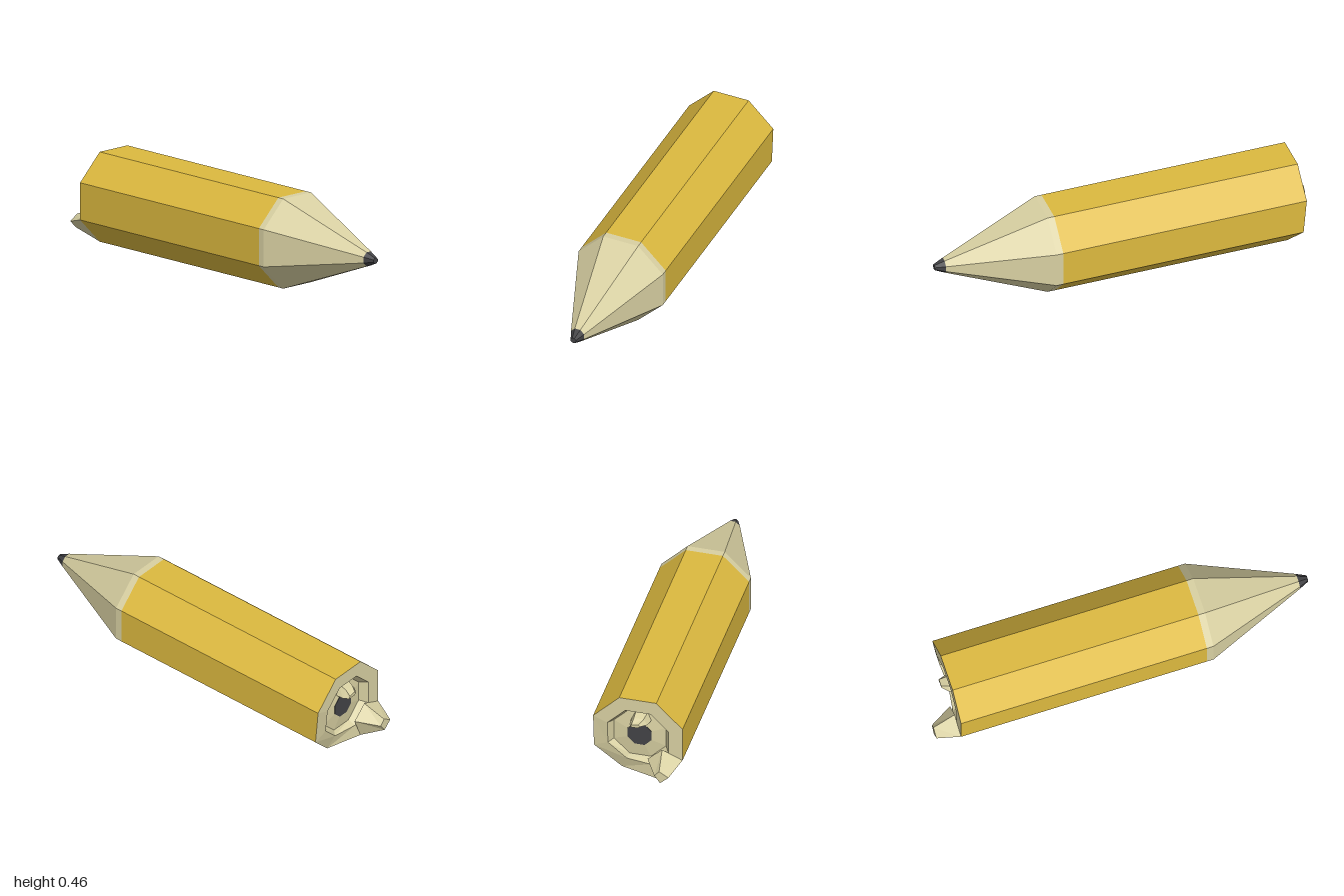
import * as THREE from 'three';

const SIDES = 8;
const AXIS_Y = 0.23;

// Octagon ring around the pencil axis; z is one depth or one depth per corner
function ring(radius, z) {
  return Array.from({ length: SIDES }, (_, k) => {
    const a = ((k + 0.5) / SIDES) * Math.PI * 2;
    return [radius * Math.cos(a), AXIS_Y + radius * Math.sin(a), Array.isArray(z) ? z[k] : z];
  });
}

// Skin between rings ordered front to back, with optional flat end caps
function loft(name, rings, material, { front = false, back = false } = {}) {
  const pos = [];
  const tri = (a, b, c) => pos.push(...a, ...b, ...c);
  for (let r = 0; r < rings.length - 1; r++) {
    const a = rings[r], b = rings[r + 1], n = a.length;
    for (let i = 0; i < n; i++) {
      const j = (i + 1) % n;
      tri(a[i], b[i], a[j]);
      tri(a[j], b[i], b[j]);
    }
  }
  const first = rings[0], last = rings[rings.length - 1];
  for (let i = 1; i < first.length - 1; i++) {
    if (front) tri(first[0], first[i], first[i + 1]);
    if (back) tri(last[0], last[i + 1], last[i]);
  }
  const geometry = new THREE.BufferGeometry();
  geometry.setAttribute('position', new THREE.Float32BufferAttribute(pos, 3));
  geometry.computeVertexNormals();
  const mesh = new THREE.Mesh(geometry, material);
  mesh.name = name;
  return mesh;
}

export function createModel() {
  const paint = new THREE.MeshStandardMaterial({ color: 0xdcb93f, flatShading: true });
  const wood = new THREE.MeshStandardMaterial({ color: 0xd8d0a2, flatShading: true });
  const lead = new THREE.MeshStandardMaterial({ color: 0x434346, flatShading: true });
  const group = new THREE.Group();
  group.name = 'brokenPencil';

  const R = 0.249;
  // Broken edge: chipped away at the lower left corners
  const edge = ring(R, [-0.885, -0.885, -0.885, -0.885, -0.885, -0.885, -0.83, -0.868]);
  const lip = ring(0.17, [-0.885, -0.885, -0.885, -0.885, -0.885, -0.875, -0.855, -0.872]);

  // Sharpened end
  group.add(loft('leadTip', [ring(0.016, 1), ring(0.039, 0.95)], lead, { front: true }));
  group.add(loft('sharpenedCone', [ring(0.039, 0.95), ring(R, 0.435), ring(R, 0.4)], wood));

  // Painted shaft
  group.add(loft('shaft', [ring(R, 0.4), edge], paint));

  // Hollowed wood of the broken end, with the lead core at its bottom
  group.add(loft('brokenEnd', [edge, lip, ring(0.145, -0.84), ring(0.067, -0.85)], wood));
  group.add(loft('leadCore', [ring(0.067, -0.84), ring(0.067, -0.852)], lead, { back: true }));

  // Splinters sticking out of the break
  const at = (points, z) => points.map(([x, y]) => [x, y, z]);
  group.add(loft('largeSplinter', [
    at([[-0.23, 0.135], [-0.095, 0], [-0.05, 0.11], [-0.125, 0.18]], -0.884),
    at([[-0.188, 0.1], [-0.145, 0.06], [-0.115, 0.1], [-0.14, 0.13]], -1),
  ], wood, { back: true }));
  group.add(loft('smallSplinter', [
    at([[-0.06, 0.32], [-0.01, 0.29], [0.045, 0.31], [0.02, 0.365], [-0.04, 0.365]], -0.84),
    at([[-0.05, 0.32], [-0.01, 0.3], [0.042, 0.31], [0.02, 0.35], [-0.03, 0.35]], -0.886),
    at([[-0.02, 0.325], [-0.01, 0.315], [0.03, 0.315], [0.025, 0.33], [-0.012, 0.335]], -0.918),
  ], wood, { front: true, back: true }));

  return group;
}
